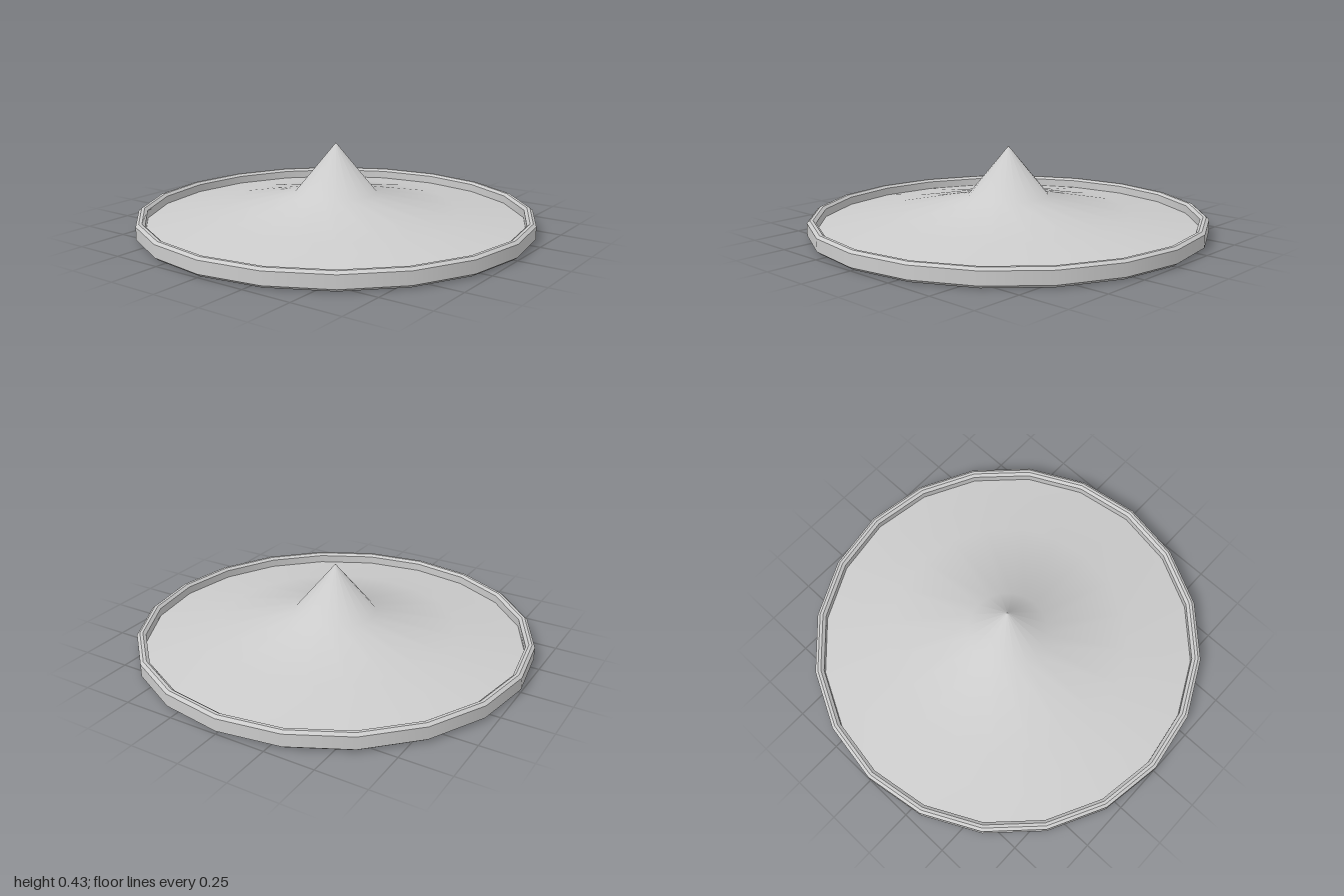
import * as THREE from 'three';

const SIDES = 20;

export function createModel() {
  const model = new THREE.Group();
  const material = new THREE.MeshStandardMaterial({ color: 0xcccccc });

  // Revolve a profile of [radius, height] pairs, smooth along its length
  const revolve = (name, profile, parent) => {
    const points = profile.map(([r, y]) => new THREE.Vector2(r, y));
    const mesh = new THREE.Mesh(new THREE.LatheGeometry(points, SIDES), material);
    mesh.name = name;
    parent.add(mesh);
  };

  // Flat underside
  revolve('base', [[0, 0], [0.98, 0]], model);

  // Bevelled rim: one band per profile step keeps its edges sharp
  const rim = new THREE.Group();
  rim.name = 'rim';
  model.add(rim);
  const rimProfile = [
    [0.98, 0], [1, 0.015], [1, 0.078], [0.985, 0.09],
    [0.97, 0.09], [0.955, 0.078], [0.955, 0.038],
  ];
  for (let i = 0; i < rimProfile.length - 1; i++) {
    revolve('rimBand', [rimProfile[i], rimProfile[i + 1]], rim);
  }

  // Sloping face rising to a central spike
  revolve('spikedFace', [[0.955, 0.038], [0.62, 0.091], [0.205, 0.178], [0, 0.428]], model);

  return model;
}
